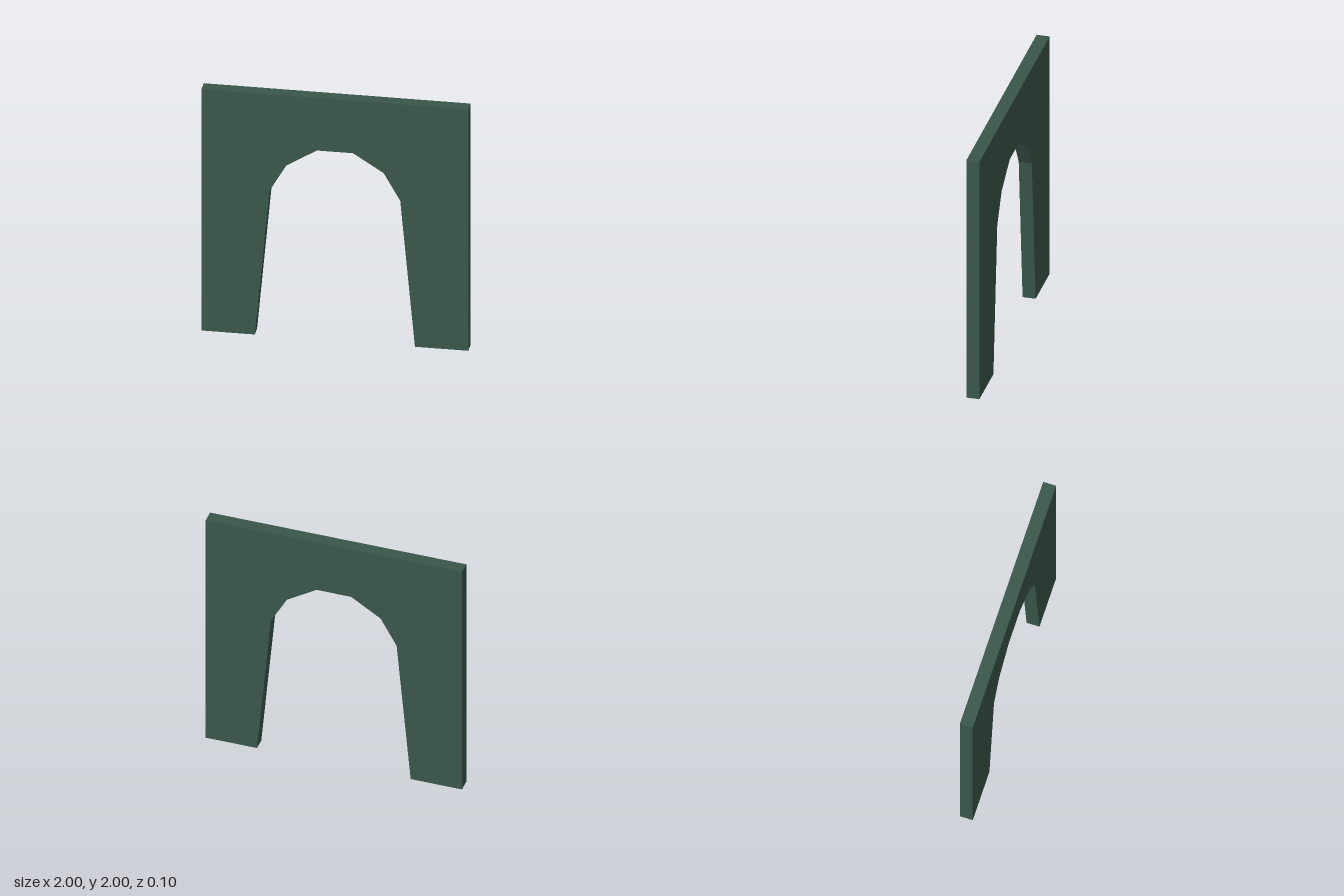
import * as THREE from 'three';

const DEPTH = 0.1;

// Right half of the arched opening, from the foot up to the crown
const OPENING = [[0.6, 0], [0.49, 1.2], [0.365, 1.42], [0.135, 1.565]];

export function createModel() {
  const model = new THREE.Group();
  model.name = 'archway';

  const darkGreen = new THREE.MeshStandardMaterial({ color: 0x3a564b, flatShading: true });
  darkGreen.name = 'dark green';

  // Square wall outline with the mirrored opening cut up from the floor
  const mirrored = OPENING.map(([x, y]) => [-x, y]);
  const outline = [[1, 0], [1, 2], [-1, 2], [-1, 0], ...mirrored, ...[...OPENING].reverse()];
  const shape = new THREE.Shape(outline.map(([x, y]) => new THREE.Vector2(x, y)));

  const geometry = new THREE.ExtrudeGeometry(shape, { depth: DEPTH, bevelEnabled: false });
  geometry.translate(0, 0, -DEPTH / 2);

  const wall = new THREE.Mesh(geometry, darkGreen);
  wall.name = 'archedWall';
  model.add(wall);
  return model;
}
